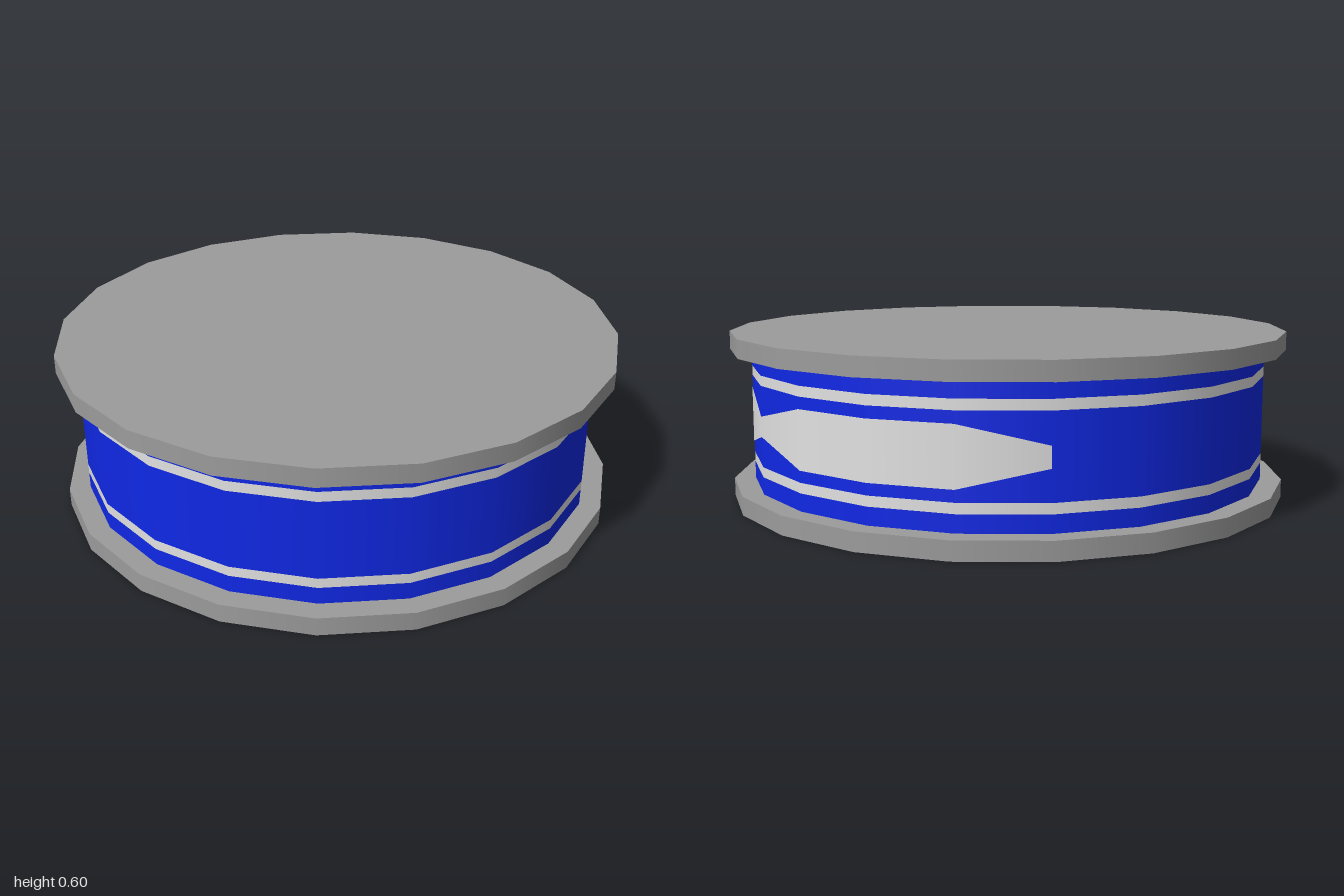
import * as THREE from 'three';

const SIDES = 20;
const DRUM_R = 0.925;

const grey = new THREE.MeshStandardMaterial({ name: 'rim grey', color: 0x9c9c9c });
const blue = new THREE.MeshStandardMaterial({ name: 'drum blue', color: 0x1028e6 });
const white = new THREE.MeshStandardMaterial({ name: 'marking white', color: 0xe2e2e2 });

// Cylinder section between two heights
function ring(name, radius, y0, y1, material, open) {
  const geo = new THREE.CylinderGeometry(radius, radius, y1 - y0, SIDES, 1, open);
  const mesh = new THREE.Mesh(geo, material);
  mesh.name = name;
  mesh.position.y = (y0 + y1) / 2;
  return mesh;
}

// Fish emblem wrapped round the drum: one half-height per drum corner
function fishEmblem() {
  const halfHeights = [0.1, 0.035, 0.1, 0.1, 0.1, 0.035]; // tail, pinch, body, nose
  const r = DRUM_R + 0.002;
  const midY = 0.3;
  const step = (Math.PI * 2) / SIDES;
  const pos = [], nor = [], idx = [];
  halfHeights.forEach((h, i) => {
    const a = (i + 2) * step;
    const nx = Math.cos(a), nz = -Math.sin(a);
    pos.push(nx * r, midY - h, nz * r, nx * r, midY + h, nz * r);
    nor.push(nx, 0, nz, nx, 0, nz);
    if (i > 0) {
      const b = 2 * (i - 1);
      idx.push(b, b + 2, b + 3, b, b + 3, b + 1);
    }
  });
  const geo = new THREE.BufferGeometry();
  geo.setAttribute('position', new THREE.Float32BufferAttribute(pos, 3));
  geo.setAttribute('normal', new THREE.Float32BufferAttribute(nor, 3));
  geo.setIndex(idx);
  const mesh = new THREE.Mesh(geo, white);
  mesh.name = 'fishEmblem';
  return mesh;
}

export function createModel() {
  const model = new THREE.Group();
  model.name = 'tin';

  // Base and lid
  model.add(ring('base', 1, 0, 0.065, grey, false));
  model.add(ring('lid', 1, 0.535, 0.6, grey, false));

  // Drum wall in stacked bands, blue with two white stripes
  const bands = [
    ['lowerWall', 0.065, 0.125, blue],
    ['lowerStripe', 0.125, 0.16, white],
    ['middleWall', 0.16, 0.44, blue],
    ['upperStripe', 0.44, 0.475, white],
    ['upperWall', 0.475, 0.535, blue],
  ];
  for (const [name, y0, y1, material] of bands) {
    model.add(ring(name, DRUM_R, y0, y1, material, true));
  }

  model.add(fishEmblem());
  return model;
}
